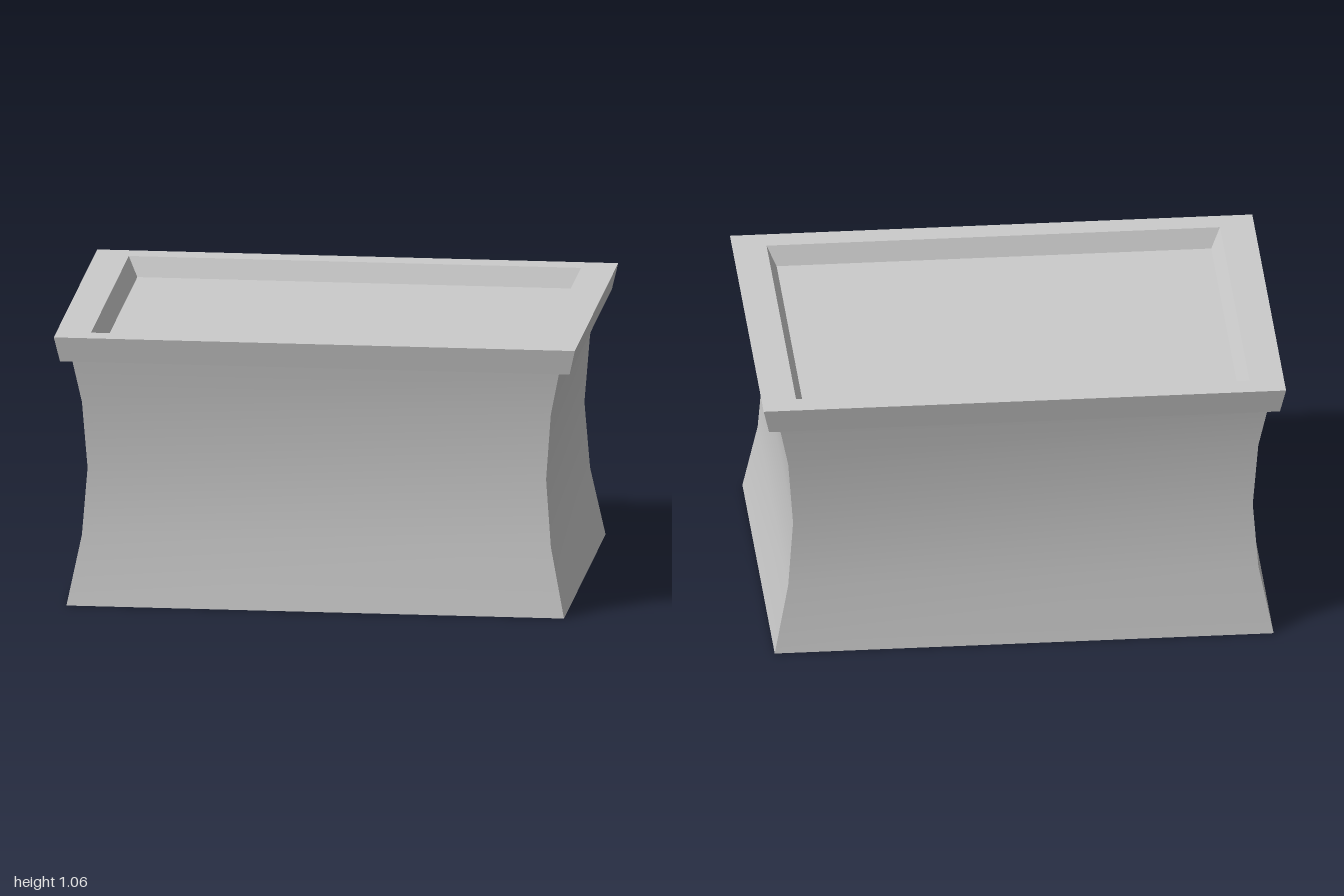
import * as THREE from 'three';
import { mergeGeometries } from 'three/addons/utils/BufferGeometryUtils.js';

// Rectangular loft: sections are [halfX, y, halfZ]; smooth along the profile, sharp at the four corners.
function rectLoft(sections) {
  const corners = [[-1, 1], [1, 1], [1, -1], [-1, -1]];
  const sides = corners.map((a, i) => {
    const b = corners[(i + 1) % 4];
    const pos = [], index = [];
    sections.forEach(([hx, y, hz], k) => {
      pos.push(a[0] * hx, y, a[1] * hz, b[0] * hx, y, b[1] * hz);
      if (k) {
        const n = 2 * k;
        index.push(n - 2, n - 1, n + 1, n - 2, n + 1, n);
      }
    });
    const g = new THREE.BufferGeometry();
    g.setAttribute('position', new THREE.Float32BufferAttribute(pos, 3));
    g.setIndex(index);
    g.computeVertexNormals();
    return g;
  });
  return mergeGeometries(sides);
}

// Flat rectangle facing up (dir = 1) or down (dir = -1).
function cap([hx, y, hz], dir) {
  const g = new THREE.PlaneGeometry(2 * hx, 2 * hz);
  g.rotateX(-dir * Math.PI / 2);
  g.translate(0, y, 0);
  return g;
}

export function createModel() {
  const group = new THREE.Group();
  group.name = 'box';
  const material = new THREE.MeshStandardMaterial({ color: 0xcccccc });
  const add = (name, geometry) => {
    const mesh = new THREE.Mesh(geometry, material);
    mesh.name = name;
    group.add(mesh);
  };

  // Waisted body
  const body = [
    [0.955, 0, 0.7], [0.9, 0.27, 0.66], [0.88, 0.53, 0.645],
    [0.9, 0.79, 0.66], [0.935, 0.96, 0.685],
  ];
  add('body', rectLoft(body));
  add('base', cap(body[0], -1));

  // Flared rim: underside, outer face, top face and recess wall, each a sharp band
  const rim = [
    body[4], [0.978, 0.96, 0.715], [1, 1.057, 0.731],
    [0.868, 1.057, 0.637], [0.832, 0.982, 0.608],
  ];
  ['rimUnderside', 'rimOuterFace', 'rimTop', 'recessWall'].forEach((name, i) => {
    add(name, rectLoft([rim[i], rim[i + 1]]));
  });

  // Sunken top panel
  add('recessFloor', cap(rim[4], 1));
  return group;
}
